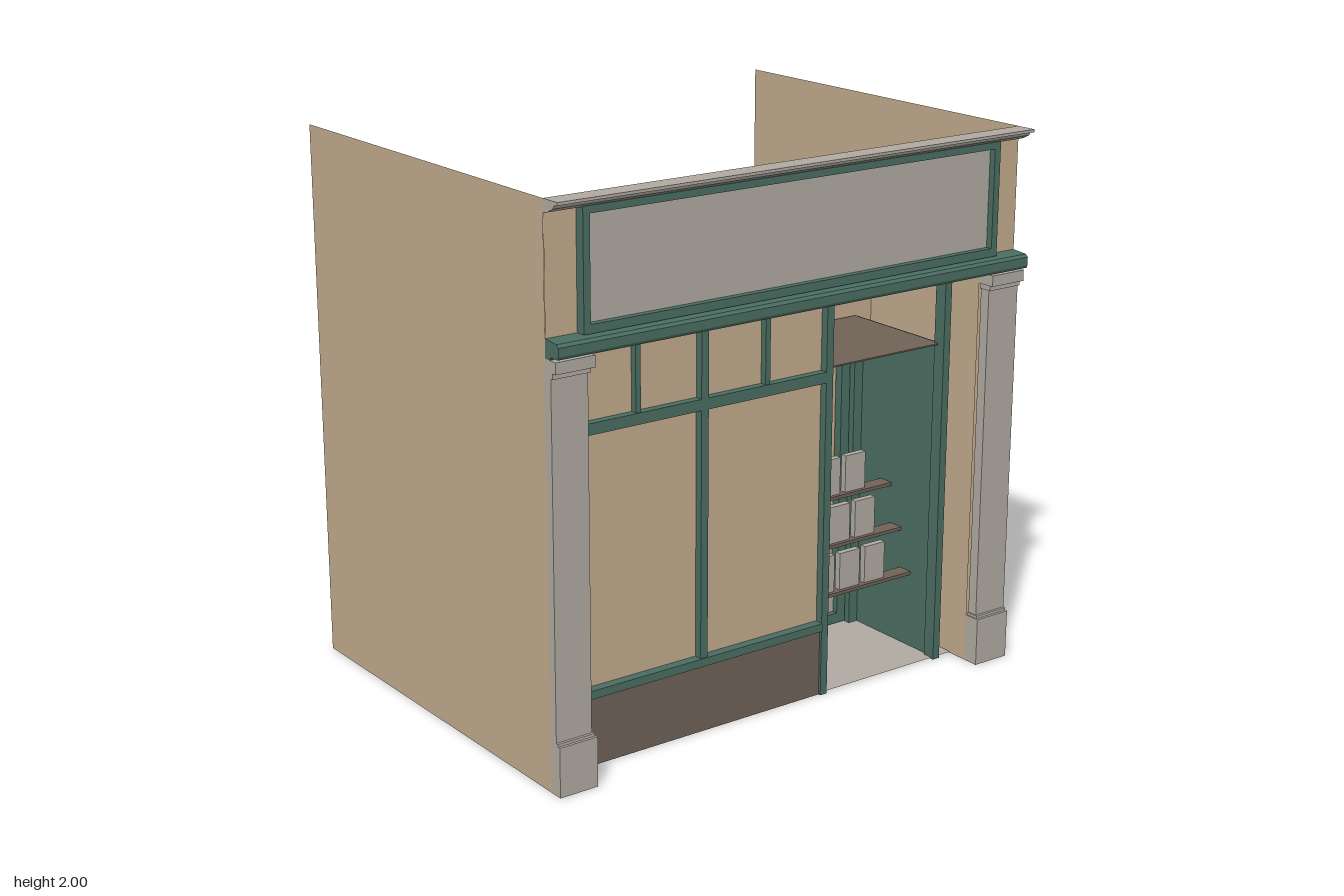
import * as THREE from 'three';

const mat = (name, color) => {
  const m = new THREE.MeshStandardMaterial({ color, side: THREE.DoubleSide });
  m.name = name;
  return m;
};

export function createModel() {
  const model = new THREE.Group();
  model.name = 'shopfront';
  const tan = mat('tan wall', 0xc2ab8c);
  const green = mat('green paint', 0x4a6d62);
  const stone = mat('grey stone', 0xb0aaa1);
  const brown = mat('brown panel', 0x706256);

  // Box given by its limits; a zero extent becomes a flat plane
  function block(name, m, x0, x1, y0, y1, z0, z1, parent = model) {
    const w = x1 - x0, h = y1 - y0, d = z1 - z0;
    let geo;
    if (w === 0) geo = new THREE.PlaneGeometry(d, h).rotateY(x0 < 0 ? -Math.PI / 2 : Math.PI / 2);
    else if (h === 0) geo = new THREE.PlaneGeometry(w, d).rotateX(-Math.PI / 2);
    else if (d === 0) geo = new THREE.PlaneGeometry(w, h);
    else geo = new THREE.BoxGeometry(w, h, d);
    const mesh = new THREE.Mesh(geo, m);
    mesh.name = name;
    mesh.position.set((x0 + x1) / 2, (y0 + y1) / 2, (z0 + z1) / 2);
    parent.add(mesh);
    return mesh;
  }

  // Moulding: a [z, y] profile swept along x
  function moulding(name, m, points, x0, x1) {
    const shape = new THREE.Shape(points.map(([z, y]) => new THREE.Vector2(-z, y)));
    const geo = new THREE.ExtrudeGeometry(shape, { depth: x1 - x0, bevelEnabled: false });
    geo.rotateY(Math.PI / 2);
    const mesh = new THREE.Mesh(geo, m);
    mesh.name = name;
    mesh.position.x = x0;
    model.add(mesh);
  }

  // Outer party walls and the room shell
  for (const s of [-1, 1]) {
    block('partyWall', tan, s, s, 0, 2, -0.79, 0.71);
    block('roomSide', tan, s * 0.85, s * 0.85, 0, 1.51, -0.64, 0.70);
  }
  block('roomBack', tan, -0.85, 0.85, 0, 1.51, -0.64, -0.64).rotation.y = Math.PI;
  block('roomTop', tan, -0.85, 0.85, 1.51, 1.51, -0.64, 0.70);
  block('floor', stone, -0.85, 0.85, 0.005, 0.005, -0.64, 0.62);

  // Pilasters with plinth and stepped capital
  for (const s of [-1, 1]) {
    const span = (name, inner, y0, y1, z1) =>
      block(name, stone, Math.min(s * inner, s), Math.max(s * inner, s), y0, y1, 0.70, z1);
    span('pilasterPlinth', 0.85, 0, 0.18, 0.76);
    span('pilasterPlinthCap', 0.855, 0.18, 0.19, 0.75);
    span('pilasterShaft', 0.86, 0.19, 1.43, 0.74);
    span('capitalLower', 0.855, 1.43, 1.45, 0.75);
    span('capitalUpper', 0.85, 1.45, 1.49, 0.768);
  }

  // Fascia beam, sign and cornice
  moulding('fasciaBeam', green, [[0.71, 1.49], [0.735, 1.49], [0.74, 1.5], [0.78, 1.5], [0.785, 1.51],
    [0.785, 1.54], [0.775, 1.55], [0.71, 1.555]], -1, 1);
  moulding('cornice', stone, [[0.71, 1.955], [0.735, 1.96], [0.765, 1.975], [0.77, 1.985], [0.79, 1.99],
    [0.79, 2], [0.71, 2]], -1, 1);
  for (const s of [-1, 1]) {
    block('upperWall', tan, Math.min(s, s * 0.875), Math.max(s, s * 0.875), 1.5, 1.97, 0.712, 0.712);
    block('signFrameSide', green, s * 0.867 - 0.013, s * 0.867 + 0.013, 1.555, 1.965, 0.71, 0.75);
  }
  block('signFrameTop', green, -0.855, 0.855, 1.94, 1.965, 0.71, 0.75);
  block('signFrameBottom', green, -0.855, 0.855, 1.555, 1.585, 0.71, 0.75);
  block('signPanel', stone, -0.855, 0.855, 1.585, 1.94, 0.72, 0.725);

  // Shop window: riser, panes, frame members
  block('stallRiser', brown, -0.85, 0.21, 0, 0.25, 0.58, 0.62);
  block('windowPane', tan, -0.85, 0.21, 0.28, 1.465, 0.6, 0.6);
  block('windowSill', green, -0.85, 0.21, 0.25, 0.28, 0.575, 0.635);
  block('windowHead', green, -0.86, 0.85, 1.465, 1.53, 0.575, 0.635);
  block('windowTransom', green, -0.85, 0.21, 1.175, 1.215, 0.585, 0.63);
  for (const [x0, x1, y0] of [[-0.85, -0.83, 0.28], [-0.33, -0.3, 0.28], [0.21, 0.24, 0], [0.755, 0.785, 0]])
    block('windowPost', green, x0, x1, y0, 1.465, 0.58, 0.63);
  for (const x of [-0.585, -0.045])
    block('smallMullion', green, x - 0.01, x + 0.01, 1.215, 1.465, 0.585, 0.625);

  // Recessed entrance: side walls, ceiling, wall around the door
  block('recessWallLeft', green, 0.225, 0.24, 0, 1.465, 0.13, 0.58);
  block('recessWallRight', green, 0.765, 0.78, 0, 1.215, 0.13, 0.58);
  block('recessCeiling', brown, 0.24, 0.765, 1.215, 1.22, 0.13, 0.6);
  block('recessBackWall', tan, 0.24, 0.85, 0, 1.51, 0.12, 0.12);

  // Door and its frame
  const door = new THREE.Group();
  door.name = 'door';
  model.add(door);
  for (const [x0, x1] of [[0.24, 0.272], [0.725, 0.765]])
    block('doorJamb', green, x0, x1, 0, 1.215, 0.12, 0.18, door);
  block('doorHead', green, 0.272, 0.725, 1.187, 1.215, 0.12, 0.18, door);
  for (const [x0, x1] of [[0.28, 0.32], [0.68, 0.72]])
    block('doorStile', green, x0, x1, 0.01, 1.18, 0.125, 0.16, door);
  block('doorTopRail', green, 0.32, 0.68, 1.14, 1.18, 0.125, 0.16, door);
  block('doorBottomRail', green, 0.32, 0.68, 0.01, 0.05, 0.125, 0.16, door);
  block('doorKickPlate', stone, 0.32, 0.68, 0.05, 0.15, 0.13, 0.138, door);

  // Tiered display shelves with boxes
  const display = new THREE.Group();
  display.name = 'display';
  model.add(display);
  [[0.29, 0.48], [0.45, 0.42], [0.61, 0.36]].forEach(([y, z]) => {
    block('shelf', brown, 0.24, 0.8, y, y + 0.013, z - 0.06, z, display);
    for (const [x0, x1] of [[0.24, 0.285], [0.31, 0.405], [0.43, 0.525], [0.55, 0.645]])
      block('displayBox', stone, x0, x1, y + 0.013, y + 0.155, z - 0.04, z - 0.015, display);
  });

  return model;
}
